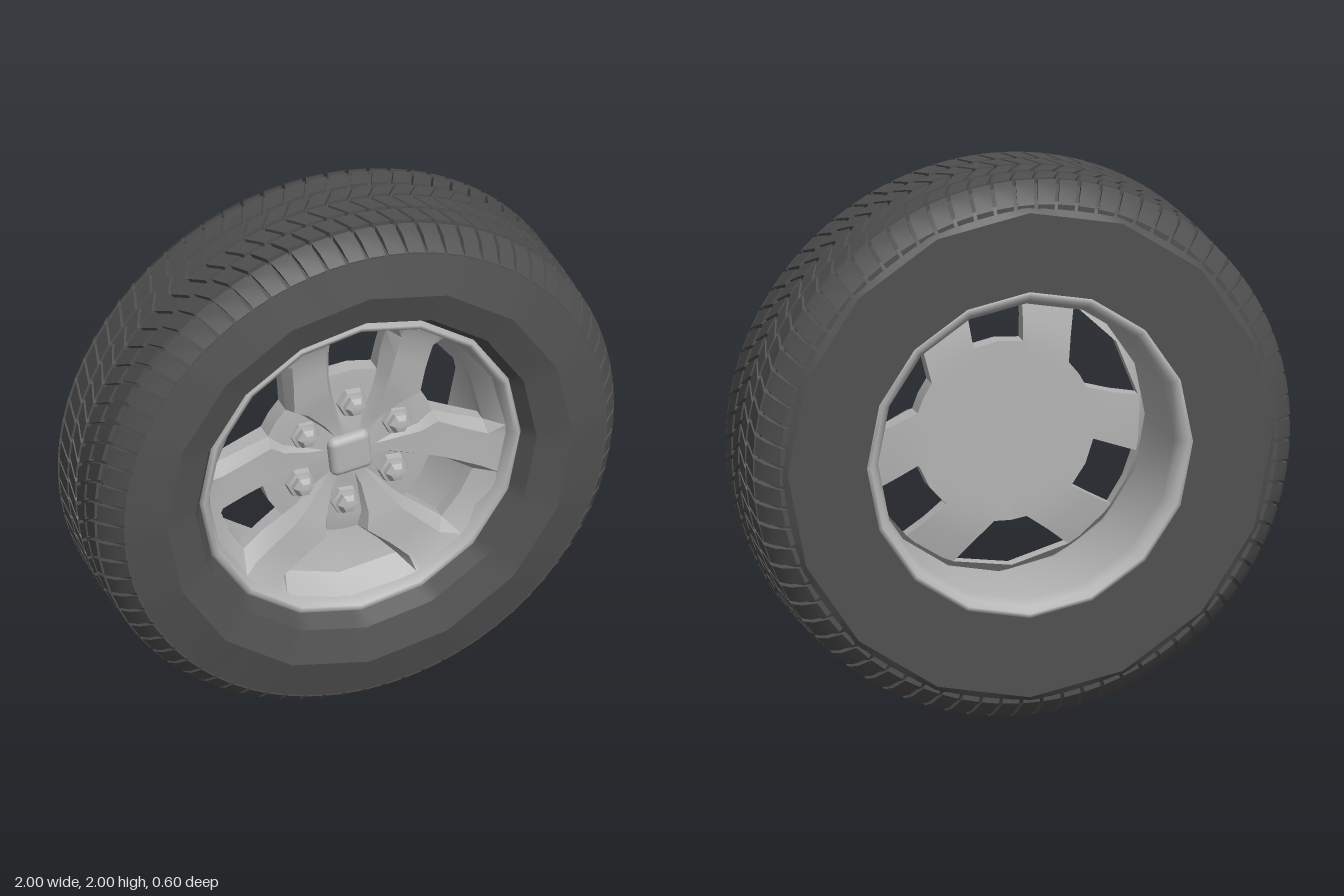
import * as THREE from 'three';
import { toCreasedNormals, mergeGeometries } from 'three/addons/utils/BufferGeometryUtils.js';
import { RoundedBoxGeometry } from 'three/addons/geometries/RoundedBoxGeometry.js';

const rubber = new THREE.MeshStandardMaterial({ name: 'darkRubber', color: 0x505050 });
const alloy = new THREE.MeshStandardMaterial({ name: 'silverAlloy', color: 0xb4b4b4, side: THREE.DoubleSide });

// Surface lofted over a grid of points; keep() may leave cells open
function grid(rows, cols, point, keep = () => true) {
  const pos = [], index = [];
  for (let i = 0; i < rows; i++) for (let j = 0; j < cols; j++) pos.push(...point(i, j));
  for (let i = 0; i < rows - 1; i++) for (let j = 0; j < cols - 1; j++) {
    if (!keep(i, j)) continue;
    const a = i * cols + j, b = a + 1, d = a + cols, c = d + 1;
    index.push(a, d, c, a, c, b);
  }
  const g = new THREE.BufferGeometry();
  g.setAttribute('position', new THREE.Float32BufferAttribute(pos, 3));
  g.setIndex(index);
  return g;
}
const polar = (r, a, z) => [r * Math.cos(a), r * Math.sin(a), z];

// Radius factor that turns a circle into a 16-sided outline
const SIDES = 16, WEDGE = 2 * Math.PI / SIDES;
const facet = a => Math.cos(WEDGE / 2) / Math.cos((a % WEDGE) - WEDGE / 2);

// Tyre body: [radius, z, faceted], from the front bead over the crown to the back bead
const BODY = [[0.6, 0.18, 1], [0.655, 0.265, 1], [0.78, 0.3, 1], [0.925, 0.257, 0], [0.945, 0.215, 0],
  [0.976, 0.155, 0], [0.98, 0, 0], [0.976, -0.2, 0], [0.932, -0.268, 0], [0.9, -0.3, 1], [0.6, -0.3, 1]];
function tyreBody() {
  const n = SIDES * 6;
  return toCreasedNormals(grid(BODY.length, n + 1, (i, j) => {
    const a = (j % n) / n * 2 * Math.PI, [r, z, f] = BODY[i];
    return polar(f ? r * facet(a + 1e-6) : r, a, z);
  }), 0.4);
}

// Outer tread radius across the width
const CROWN = [[0.26, 0.925], [0.22, 0.965], [0.155, 0.997], [0, 1], [-0.205, 0.996], [-0.27, 0.955], [-0.29, 0.915]];
function crown(z) {
  for (let i = 1; i < CROWN.length; i++) {
    const [z0, r0] = CROWN[i - 1], [z1, r1] = CROWN[i];
    if (z >= z1) return r0 + (r1 - r0) * (z0 - z) / (z0 - z1);
  }
  return 0.915;
}

// Tread ribs: [front z, back z, angular offset, slant]
const RIBS = [[0.258, 0.163, 0, 0.25], [0.147, 0.073, 0.3, 0.45], [0.057, -0.012, 0.0, 0.6],
  [-0.028, -0.092, 0.5, -0.6], [-0.108, -0.187, 0.1, -0.45], [-0.203, -0.285, 0.7, -0.25]];
function treadBlocks() {
  const count = 76, step = 2 * Math.PI / count, list = [];
  for (const [z0, z1, offset, slant] of RIBS) for (let k = 0; k < count; k++) {
    list.push(grid(5, 4, (i, j) => {
      const t = [0, 0, 0.5, 1, 1][i], z = z0 + (z1 - z0) * t;
      const sunk = i === 0 || i === 4 || j === 0 || j === 3;
      const a = (k + offset + slant * t + (j < 2 ? 0 : 0.82)) * step;
      return polar(crown(z) - (sunk ? 0.035 : 0), a, z);
    }));
  }
  return toCreasedNormals(mergeGeometries(list), 0.5);
}

// Wheel face: six 60 degree sectors, narrow and wide windows alternating
const TILT = 86 * Math.PI / 180, SECTOR = Math.PI / 3;
const RINGS = [0.005, 0.1, 0.16, 0.27, 0.335, 0.42, 0.512, 0.57];
const NARROW = {
  half: [0.3, 0.3, 0.3, 0.3, 0.28, 0.24, 0.21, 0.2], edge: 0.08,
  floor: [0.1, 0.1, 0.085, 0.085, 0.08, 0.08, 0.1, 0.18],
};
const WIDE = {
  half: [0.3, 0.3, 0.3, 0.25, 0.18, 0.34, 0.43, 0.42], edge: 0.06,
  floor: [0.1, 0.1, 0.09, 0.1, 0.09, 0.09, 0.1, 0.18],
};
const SPOKE = [0.1, 0.1, 0.105, 0.13, 0.14, 0.145, 0.155, 0.18];
const BACK = [0.02, 0.02, 0.02, 0.02, 0.02, 0.03, 0.05, 0.14];
function facePoint(i, j, back) {
  const s = Math.floor(j / 6), c = j % 6, w = s % 2 ? WIDE : NARROW;
  const h = w.half[i], e = h + w.edge;
  const a = TILT + s * SECTOR + [-SECTOR / 2, -e, -h, 0, h, e][c];
  const raised = c < 2 || c > 4;
  return polar(RINGS[i], a, back ? BACK[i] : raised ? SPOKE[i] : w.floor[i]);
}
function wheelFace() {
  const open = (i, j) => !((i === 4 || i === 5) && (j % 6 === 2 || j % 6 === 3));
  const front = grid(8, 37, (i, j) => facePoint(i, j % 36, false), open);
  const rear = grid(8, 37, (i, j) => facePoint(i, 36 - j === 36 ? 0 : 36 - j, true),
    (i, j) => open(i, 35 - j));
  const loop = [[4, 2], [4, 3], [4, 4], [5, 4], [6, 4], [6, 3], [6, 2], [5, 2], [4, 2]];
  const walls = [];
  for (let s = 0; s < 6; s++) {
    walls.push(grid(2, 9, (k, n) => facePoint(loop[n][0], s * 6 + loop[n][1], k === 1)));
  }
  return [front, rear, mergeGeometries(walls)].map(g => toCreasedNormals(g, 0.6));
}

// Solid of revolution about the axle from [radius, z] points
function turned(points, sides) {
  const g = new THREE.LatheGeometry(points.map(p => new THREE.Vector2(...p)), sides);
  return g.rotateX(Math.PI / 2);
}

export function createModel() {
  const wheel = new THREE.Group();
  wheel.name = 'wheel';
  wheel.position.y = 1;
  const add = (name, geometry, material, parent = wheel) => {
    const m = new THREE.Mesh(geometry, material);
    m.name = name;
    parent.add(m);
    return m;
  };

  add('tyreBody', tyreBody(), rubber);
  add('treadBlocks', treadBlocks(), rubber);

  // Rim barrel with rolled lips at both ends
  add('rimBarrel', turned([[0.612, 0.18], [0.618, 0.205], [0.605, 0.222], [0.588, 0.218], [0.575, 0.185],
    [0.562, 0.15], [0.53, 0.04], [0.55, -0.25], [0.57, -0.285], [0.59, -0.303], [0.606, -0.3], [0.608, -0.28]],
  SIDES), alloy);

  const names = ['spokedFace', 'spokedFaceBack', 'windowWalls'];
  wheelFace().forEach((g, i) => add(names[i], g, alloy));

  // Centre cap
  const cap = add('centreCap', new RoundedBoxGeometry(0.16, 0.16, 0.06, 3, 0.028), alloy);
  cap.position.z = 0.1;
  cap.rotation.z = 0.1;

  // Six lug nuts, each on a round seat
  for (let k = 0; k < 6; k++) {
    const lug = new THREE.Group(), a = TILT + k * SECTOR;
    lug.name = 'lugNut';
    lug.position.set(...polar(0.205, a, 0.08));
    lug.rotation.z = a;
    add('lugSeat', toCreasedNormals(turned([[0.06, 0], [0.054, 0.028], [0.03, 0.034]], 6), 0.5), alloy, lug);
    add('lugHead', toCreasedNormals(turned([[0.042, 0], [0.04, 0.05], [0.026, 0.068], [0, 0.074]], 6), 0.5), alloy, lug);
    wheel.add(lug);
  }

  const model = new THREE.Group();
  model.name = 'roadWheel';
  model.add(wheel);
  return model;
}
